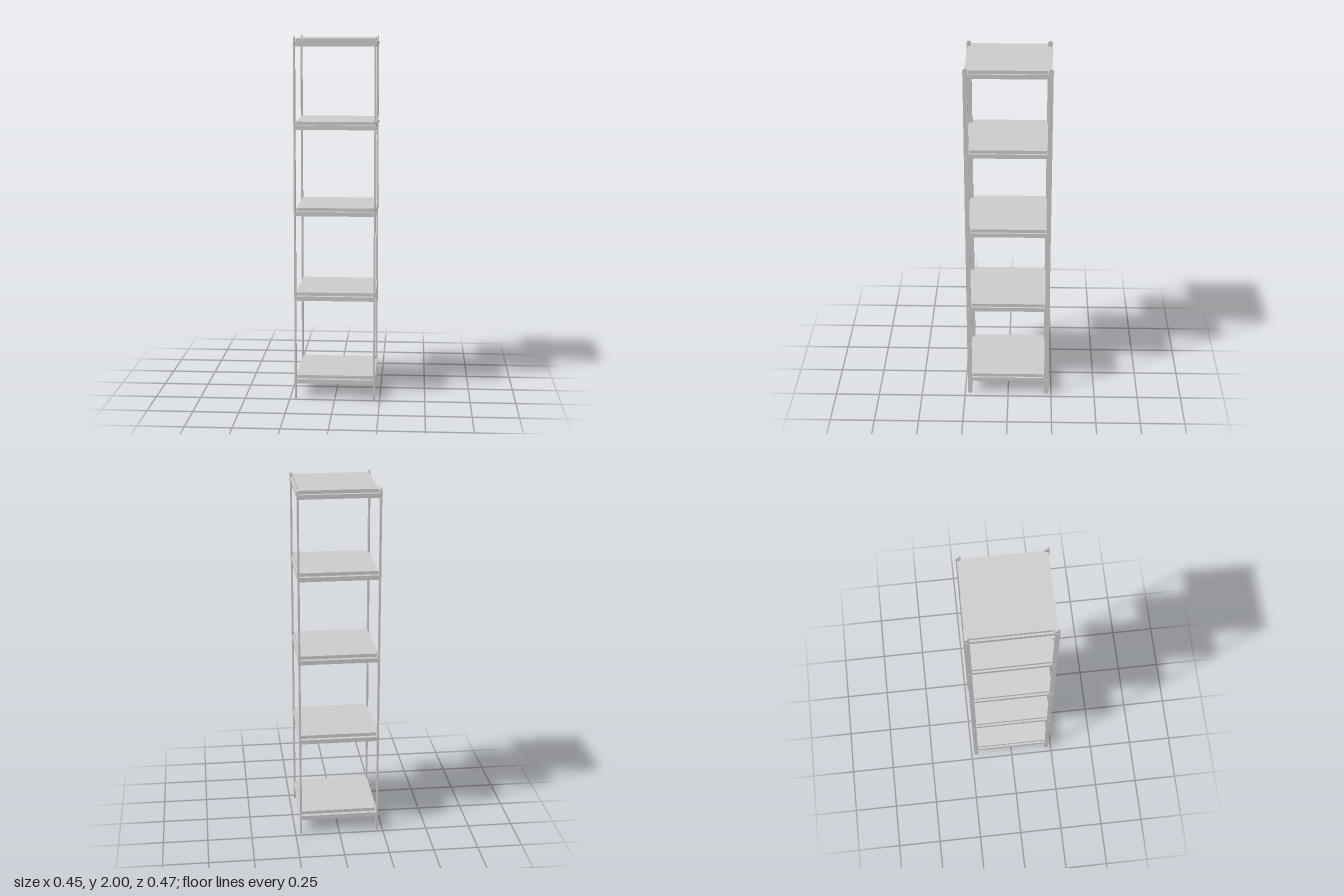
import * as THREE from 'three';

const material = new THREE.MeshStandardMaterial({ color: 0xcccccc, flatShading: true });

function part(parent, name, geometry, x, y, z) {
  const mesh = new THREE.Mesh(geometry, material);
  mesh.name = name;
  mesh.position.set(x, y, z);
  parent.add(mesh);
  return mesh;
}

// flat bar with rounded ends, lying in the z-y plane and centred on x and z
function postGeometry(height, width, thickness) {
  const r = width / 2;
  const shape = new THREE.Shape();
  shape.absarc(0, height - r, r, 0, Math.PI, false);
  shape.absarc(0, r, r, Math.PI, Math.PI * 2, false);
  shape.closePath();
  const g = new THREE.ExtrudeGeometry(shape, { depth: thickness, bevelEnabled: false, curveSegments: 8 });
  g.translate(0, 0, -thickness / 2);
  g.rotateY(Math.PI / 2);
  return g;
}

export function createModel() {
  const model = new THREE.Group();
  model.name = 'shelvingUnit';
  const postX = 0.218, postZ = 0.221;
  const bottoms = [0.085, 0.557, 1.029, 1.5, 1.946];
  const post = postGeometry(2, 0.025, 0.01);
  const bolt = new THREE.CylinderGeometry(0.005, 0.006, 0.004, 8).rotateZ(-Math.PI / 2);

  // four upright posts
  for (const sx of [-1, 1])
    for (const sz of [-1, 1]) part(model, 'post', post, sx * postX, 0, sz * postZ);

  const panel = new THREE.BoxGeometry(0.422, 0.042, 0.412);
  const crossRail = new THREE.BoxGeometry(0.426, 0.024, 0.022);
  const sideRail = new THREE.BoxGeometry(0.012, 0.024, 0.418);

  for (const y of bottoms) {
    const shelf = new THREE.Group();
    shelf.name = 'shelf';
    shelf.position.y = y;
    model.add(shelf);
    // raised panel sitting within a lower frame of rails
    part(shelf, 'panel', panel, 0, 0.0215, 0);
    for (const s of [-1, 1]) {
      part(shelf, 'crossRail', crossRail, 0, 0.012, s * 0.217);
      part(shelf, 'sideRail', sideRail, s * 0.216, 0.012, 0);
      // bolt heads on the outer faces of the posts
      for (const sz of [-1, 1]) {
        const head = part(shelf, 'bolt', bolt, s * 0.2245, 0.012, sz * postZ);
        if (s < 0) head.rotation.y = Math.PI;
      }
    }
  }
  return model;
}
